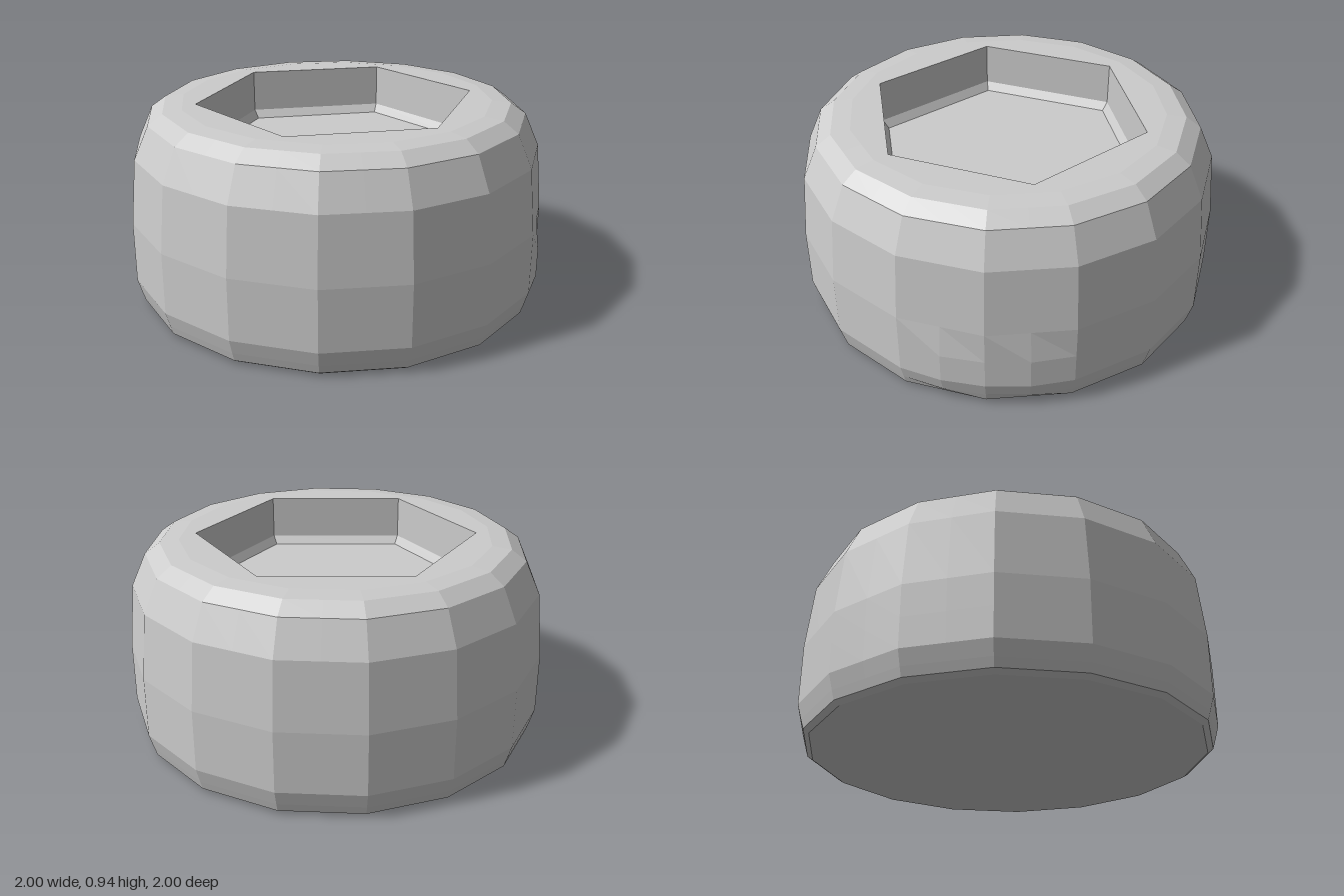
import * as THREE from 'three';

const material = new THREE.MeshStandardMaterial({ color: 0xcccccc, flatShading: true });
const SIDES = 16;
const TOP = 0.945;
const RIM = 0.74;      // radius where the flat top begins
const HEX = 0.667;     // corner radius of the pocket

const toPoints = (list) => list.map(([r, y]) => new THREE.Vector2(r, y));

// Regular polygon with a corner on +x
const polygon = (radius, sides) => Array.from({ length: sides }, (_, i) => {
  const a = (i / sides) * Math.PI * 2;
  return new THREE.Vector2(radius * Math.cos(a), radius * Math.sin(a));
});

// Sixteen-sided barrel; every side is split once so a few can swell outward
function bodyGeometry() {
  const profile = toPoints([
    [0, 0], [0.94, 0], [0.967, 0.018], [0.98, 0.06], [1, 0.13], [1, 0.27], [1, 0.42],
    [0.97, 0.73], [0.9, 0.885], [0.83, 0.935], [RIM, TOP],
  ]);
  const rows = profile.length;
  const geometry = new THREE.LatheGeometry(profile, SIDES * 2);
  const pos = geometry.attributes.position;
  const flat = Math.cos(Math.PI / SIDES);
  for (let i = 0; i < pos.count; i++) {
    const column = Math.floor(i / rows);
    if (column % 2 === 0) continue;
    const y = pos.getY(i);
    // rounded patch low on the back left
    const swollen = (column === 11 || column === 13) && y > 0.05 && y < 0.3;
    const k = swollen ? 1 : flat;
    pos.setXYZ(i, pos.getX(i) * k, y, pos.getZ(i) * k);
  }
  return geometry;
}

// Flat top ring with a hexagonal opening
function topGeometry() {
  const shape = new THREE.Shape(polygon(RIM, SIDES));
  shape.holes.push(new THREE.Path(polygon(HEX, 6).reverse()));
  return new THREE.ShapeGeometry(shape).rotateX(-Math.PI / 2).translate(0, TOP, 0);
}

// Hexagonal recess: straight walls, small chamfer, flat floor
function pocketGeometry() {
  const profile = toPoints([[HEX, TOP], [HEX, 0.74], [0.637, 0.7], [0, 0.7]]);
  return new THREE.LatheGeometry(profile, 6, Math.PI / 2);
}

export function createModel() {
  const group = new THREE.Group();
  group.name = 'socketedCap';
  const parts = { body: bodyGeometry(), topRing: topGeometry(), hexPocket: pocketGeometry() };
  for (const [name, geometry] of Object.entries(parts)) {
    const mesh = new THREE.Mesh(geometry, material);
    mesh.name = name;
    group.add(mesh);
  }
  return group;
}
